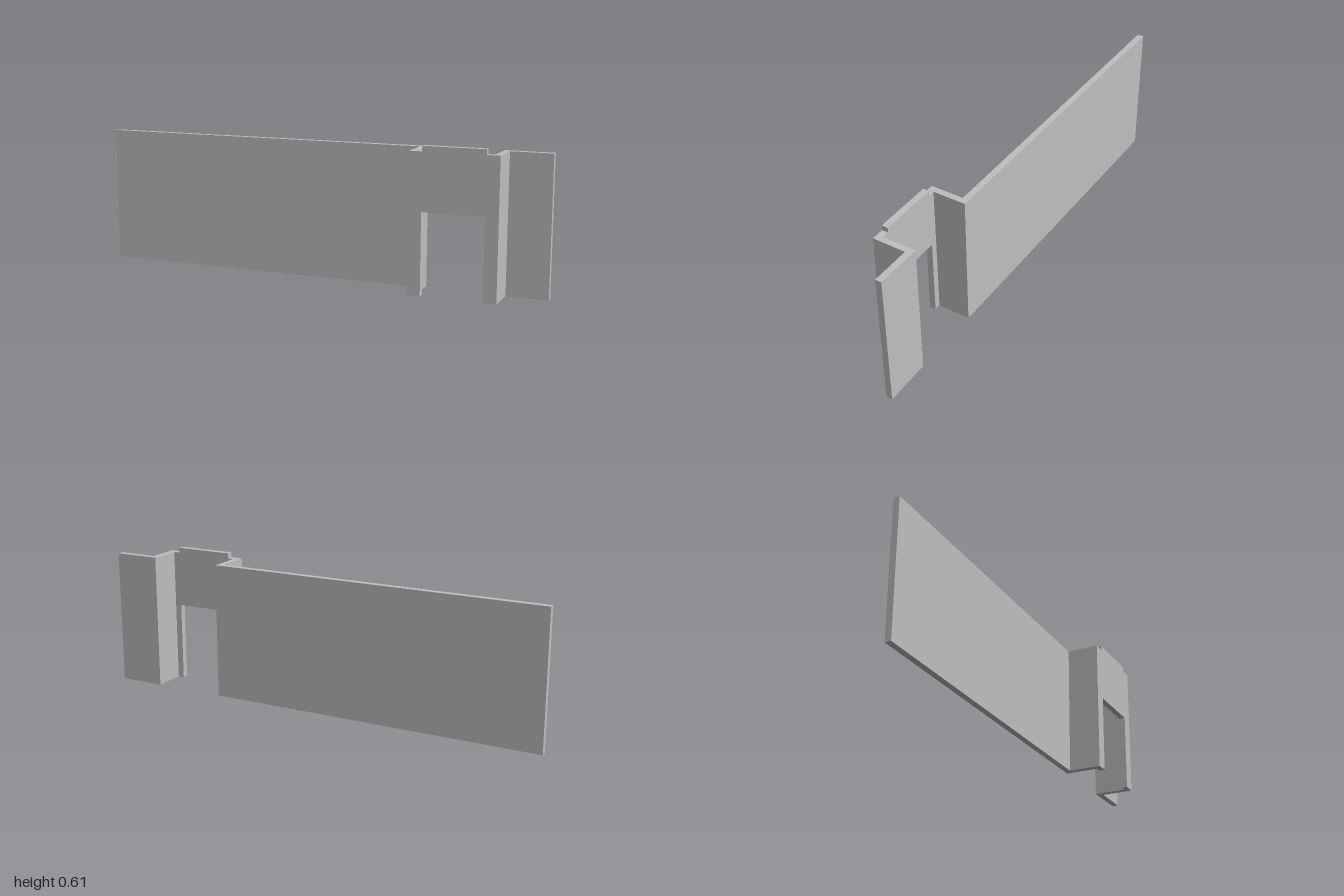
import * as THREE from 'three';

const HEIGHT = 0.588;
const BACK = -0.085, FRONT = 0.085, THICK = 0.027;

export function createModel() {
  const group = new THREE.Group();
  const plaster = new THREE.MeshStandardMaterial({ color: 0xbfbfbf });
  plaster.name = 'light grey plaster';

  // Stepped wall: long run at the back, return forward, then a short door jamb.
  // dir is +1 when the run goes towards +x, -1 when it goes towards -x.
  function steppedWall(name, end, outer, jamb, dir) {
    const inner = outer + dir * THICK;
    const plan = [
      [end, BACK], [inner, BACK], [inner, FRONT - THICK], [jamb, FRONT - THICK],
      [jamb, FRONT], [outer, FRONT], [outer, BACK + THICK], [end, BACK + THICK],
    ];
    const shape = new THREE.Shape(plan.map(([x, z]) => new THREE.Vector2(x, -z)));
    const geometry = new THREE.ExtrudeGeometry(shape, { depth: HEIGHT, bevelEnabled: false });
    geometry.rotateX(-Math.PI / 2);
    const mesh = new THREE.Mesh(geometry, plaster);
    mesh.name = name;
    group.add(mesh);
  }

  const doorLeft = 0.51, doorRight = 0.77;
  steppedWall('longWall', -1, 0.455, doorLeft, 1);
  steppedWall('shortWall', 1, 0.825, doorRight, -1);

  // Panel over the doorway, rising slightly above the walls
  const bottom = 0.345, top = 0.61;
  const lintel = new THREE.Mesh(
    new THREE.BoxGeometry(doorRight - doorLeft, top - bottom, THICK), plaster);
  lintel.position.set((doorLeft + doorRight) / 2, (top + bottom) / 2, FRONT - THICK / 2);
  lintel.name = 'doorLintel';
  group.add(lintel);

  return group;
}
